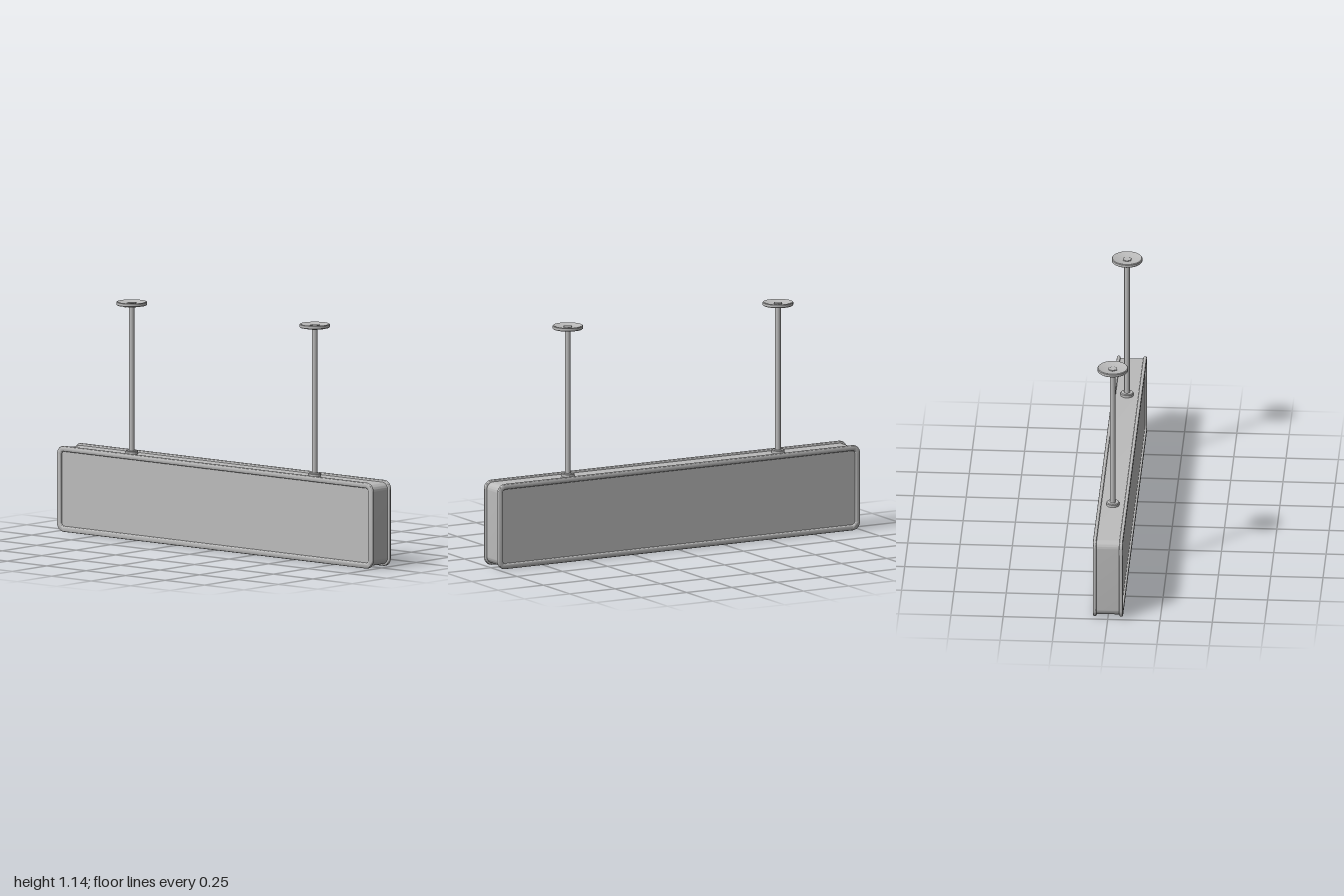
import * as THREE from 'three';
import { toCreasedNormals } from 'three/addons/utils/BufferGeometryUtils.js';

const HEIGHT = 0.414;

// Rounded rectangle following the case outline, shrunk by an inset
function outline(inset, radius, Type = THREE.Shape) {
  const x = 1 - inset, y0 = inset, y1 = HEIGHT - inset, r = radius;
  const s = new Type();
  s.moveTo(-x + r, y0);
  s.lineTo(x - r, y0);
  s.absarc(x - r, y0 + r, r, -Math.PI / 2, 0);
  s.lineTo(x, y1 - r);
  s.absarc(x - r, y1 - r, r, 0, Math.PI / 2);
  s.lineTo(-x + r, y1);
  s.absarc(-x + r, y1 - r, r, Math.PI / 2, Math.PI);
  s.lineTo(-x, y0 + r);
  s.absarc(-x + r, y0 + r, r, Math.PI, Math.PI * 1.5);
  return s;
}

export function createModel() {
  const metal = new THREE.MeshStandardMaterial({ color: 0xbcbcbc });
  metal.name = 'grey metal';
  const model = new THREE.Group();
  model.name = 'hangingLightBox';

  const add = (parent, name, geometry, x = 0, y = 0, z = 0) => {
    const mesh = new THREE.Mesh(geometry, metal);
    mesh.name = name;
    mesh.position.set(x, y, z);
    parent.add(mesh);
    return mesh;
  };
  const lathe = (points, segments = 32) => toCreasedNormals(
    new THREE.LatheGeometry(points.map(([r, y]) => new THREE.Vector2(r, y)), segments), 0.6);

  // Case, whose ends form the flat front and back panels
  const body = new THREE.ExtrudeGeometry(outline(0.01, 0.035),
    { depth: 0.124, bevelEnabled: false, curveSegments: 8 });
  add(model, 'case', toCreasedNormals(body, 0.6), 0, 0, -0.062);

  // Rounded rims around the front and back panels
  const rimShape = outline(0, 0.042);
  rimShape.holes.push(outline(0.027, 0.016, THREE.Path));
  const bevel = 0.007;
  const rim = toCreasedNormals(new THREE.ExtrudeGeometry(rimShape, {
    depth: 0.003, bevelThickness: bevel, bevelSize: bevel, bevelOffset: -bevel,
    bevelSegments: 4, curveSegments: 8,
  }), 0.6);
  add(model, 'frontRim', rim, 0, 0, 0.0615);
  add(model, 'backRim', rim, 0, 0, -0.0645);

  // Two hangers: collar, rod and ceiling plate with screws
  const rod = new THREE.CylinderGeometry(0.0135, 0.0135, 0.725, 20);
  const collar = lathe([[0, 0], [0.031, 0], [0.031, 0.013], [0.028, 0.017], [0, 0.017]]);
  const plate = lathe([[0, 1.112], [0.025, 1.112], [0.027, 1.12], [0.069, 1.12], [0.073, 1.123],
    [0.073, 1.135], [0.07, 1.138], [0.05, 1.133], [0.022, 1.129], [0, 1.129]], 40);
  const screw = new THREE.CylinderGeometry(0.007, 0.006, 0.006, 12);
  const nut = new THREE.CylinderGeometry(0.023, 0.023, 0.006, 6);
  nut.rotateY(Math.PI / 6);

  for (const x of [-0.585, 0.575]) {
    const hanger = new THREE.Group();
    hanger.name = x > 0 ? 'leftHanger' : 'rightHanger';
    hanger.position.x = x;
    add(hanger, 'collar', collar, 0, 0.403, 0);
    add(hanger, 'rod', rod, 0, 0.7675, 0);
    add(hanger, 'ceilingPlate', plate);
    add(hanger, 'nut', toCreasedNormals(nut, 0.6), 0, 1.13, 0);
    for (let i = 0; i < 4; i++) {
      const a = i * Math.PI / 2;
      add(hanger, 'screw', screw, 0.044 * Math.cos(a), 1.118, 0.044 * Math.sin(a));
    }
    model.add(hanger);
  }
  return model;
}
